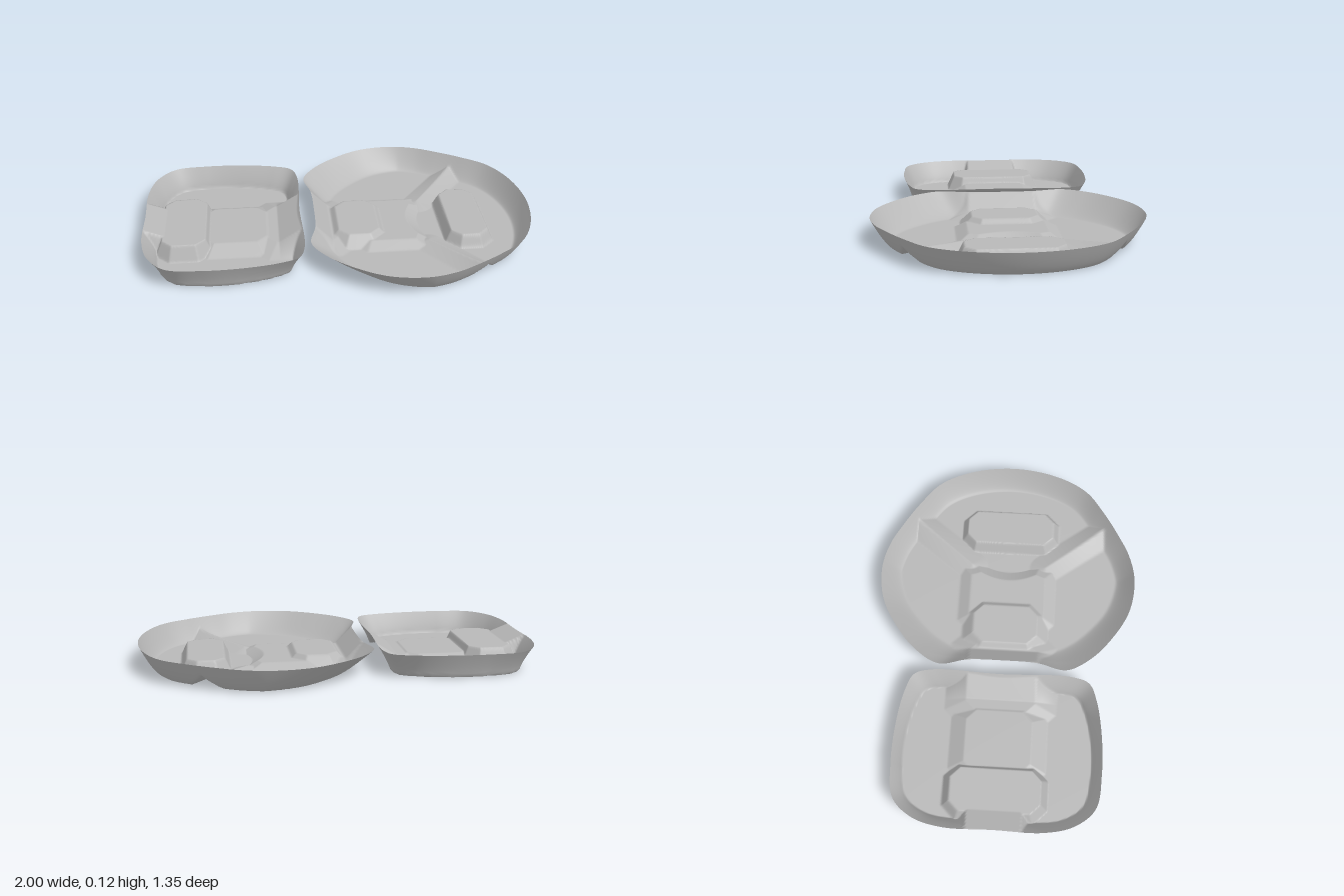
import * as THREE from 'three';

const RIM = 0.12, SEGMENTS = 360, RINGS = 96;
const { clamp, lerp } = THREE.MathUtils;

// Closed rim curve from the points of one half, mirrored across z = 0
function outline(half) {
  const mirrored = half.slice(1, -1).reverse().map(([x, z]) => [x, -z]);
  const points = [...half, ...mirrored].map(([x, z]) => new THREE.Vector3(x, RIM, z));
  return new THREE.CatmullRomCurve3(points, true, 'centripetal').getSpacedPoints(SEGMENTS);
}

// Flat-topped block of height h with sloped sides of width w and clipped corners
function plateau(x, z, x0, x1, halfZ, h, w) {
  const dx = Math.max(x0 - x, x - x1), dz = Math.abs(z) - halfZ;
  const d = Math.max(dx, dz, (dx + dz) * 0.7 + 0.035);
  return h * (1 - clamp(d / w, 0, 1));
}

// Side wall; r runs from 0 in the middle to 1 at the rim
function wall(r, start, power) {
  return RIM * Math.pow(clamp((r - start) / (1 - start), 0, 1), power);
}

// Crease ridge that falls from height h at a to a low end at b
function ridge(x, z, a, b, h, width) {
  const ax = b[0] - a[0], az = b[1] - a[1];
  const t = clamp(((x - a[0]) * ax + (z - a[1]) * az) / (ax * ax + az * az), 0, 1);
  const d = Math.hypot(x - a[0] - ax * t, z - a[1] - az * t);
  return lerp(h, 0.025, Math.pow(t, 0.4)) * (1 - clamp(d / width, 0, 1));
}

// Thin open shell: rings shrink from the rim to the centre and follow a height rule
function shell(name, half, cx, height, material) {
  const rim = outline(half), positions = [], index = [];
  for (let i = 0; i <= RINGS; i++) {
    const r = i / RINGS;
    for (let j = 0; j < SEGMENTS; j++) {
      const x = cx + (rim[j].x - cx) * r, z = rim[j].z * r;
      positions.push(x, i === RINGS ? RIM : Math.min(RIM, height(x, z, r)), z);
    }
  }
  for (let i = 0; i < RINGS; i++) {
    for (let j = 0; j < SEGMENTS; j++) {
      const next = (j + 1) % SEGMENTS;
      const a = i * SEGMENTS + j, b = i * SEGMENTS + next;
      const c = a + SEGMENTS, d = b + SEGMENTS;
      index.push(c, b, d);
      if (i > 0) index.push(a, b, c);
    }
  }
  const geometry = new THREE.BufferGeometry();
  geometry.setAttribute('position', new THREE.Float32BufferAttribute(positions, 3));
  geometry.setIndex(index);
  geometry.computeVertexNormals();
  const mesh = new THREE.Mesh(geometry, material);
  mesh.name = name;
  return mesh;
}

// Small tray: two end pads, a middle bridge and a raised block open to the -x rim
function smallTrayHeight(x, z, r) {
  const dx = x + 0.6, along = dx * dx / (dx * dx + z * z + 1e-6);
  const slope = 0.045 + 0.075 * clamp((x + 0.32) / 0.12, 0, 1);
  return Math.max(
    wall(r, lerp(0.92, 0.81, along), 0.8),
    plateau(x, z, -0.91, -0.69, 0.23, 0.08, 0.035),
    plateau(x, z, -1.1, -0.86, 0.14, 0.08 + 0.04 * clamp((-0.9 - x) / 0.1, 0, 1), 0.04),
    plateau(x, z, -0.7, -0.38, 0.17, 0.045, 0.08),
    plateau(x, z, -0.38, -0.1, 0.18, slope - 0.005, 0.11));
}

// Large tray: two side pads, a round end lobe, a stepped bridge and a raised block
function largeTrayHeight(x, z, r) {
  const side = clamp((0.4 - x) / 0.5, 0, 1);
  const slope = 0.035 + 0.085 * clamp((-0.045 - x) / 0.085, 0, 1);
  const arcEdge = 0.36 + z * z * 1.8;
  return Math.max(
    wall(r, lerp(0.875, 0.74, side), 1.3),
    plateau(x, z, -0.3, 0.0, 0.18, slope, 0.1),
    plateau(x, z, -0.01, 0.2, 0.17, 0.06, 0.06),
    plateau(x, z, 0.1, arcEdge, 0.2, 0.035, 0.06),
    ridge(x, Math.abs(z), [0.7, 0.53], [0.45, 0.2], 0.085, 0.085),
    plateau(x, z, 0.565, 0.755, 0.235, 0.065, 0.03));
}

export function createModel() {
  const group = new THREE.Group();
  const grey = new THREE.MeshStandardMaterial({ color: 0xb8b8b8, side: THREE.DoubleSide });
  grey.name = 'light grey';

  const smallRim = [[-1, 0], [-1, 0.25], [-0.96, 0.4], [-0.87, 0.5], [-0.7, 0.525],
    [-0.5, 0.52], [-0.32, 0.49], [-0.23, 0.45], [-0.2, 0.36], [-0.205, 0]];
  const largeRim = [[-0.13, 0], [-0.135, 0.18], [-0.165, 0.33], [-0.1, 0.45], [0.02, 0.56],
    [0.18, 0.65], [0.36, 0.675], [0.5, 0.645], [0.62, 0.585], [0.75, 0.505], [0.88, 0.4],
    [0.965, 0.23], [1, 0]];

  group.add(shell('smallTray', smallRim, -0.6, smallTrayHeight, grey));
  group.add(shell('largeTray', largeRim, 0.4, largeTrayHeight, grey));
  return group;
}
